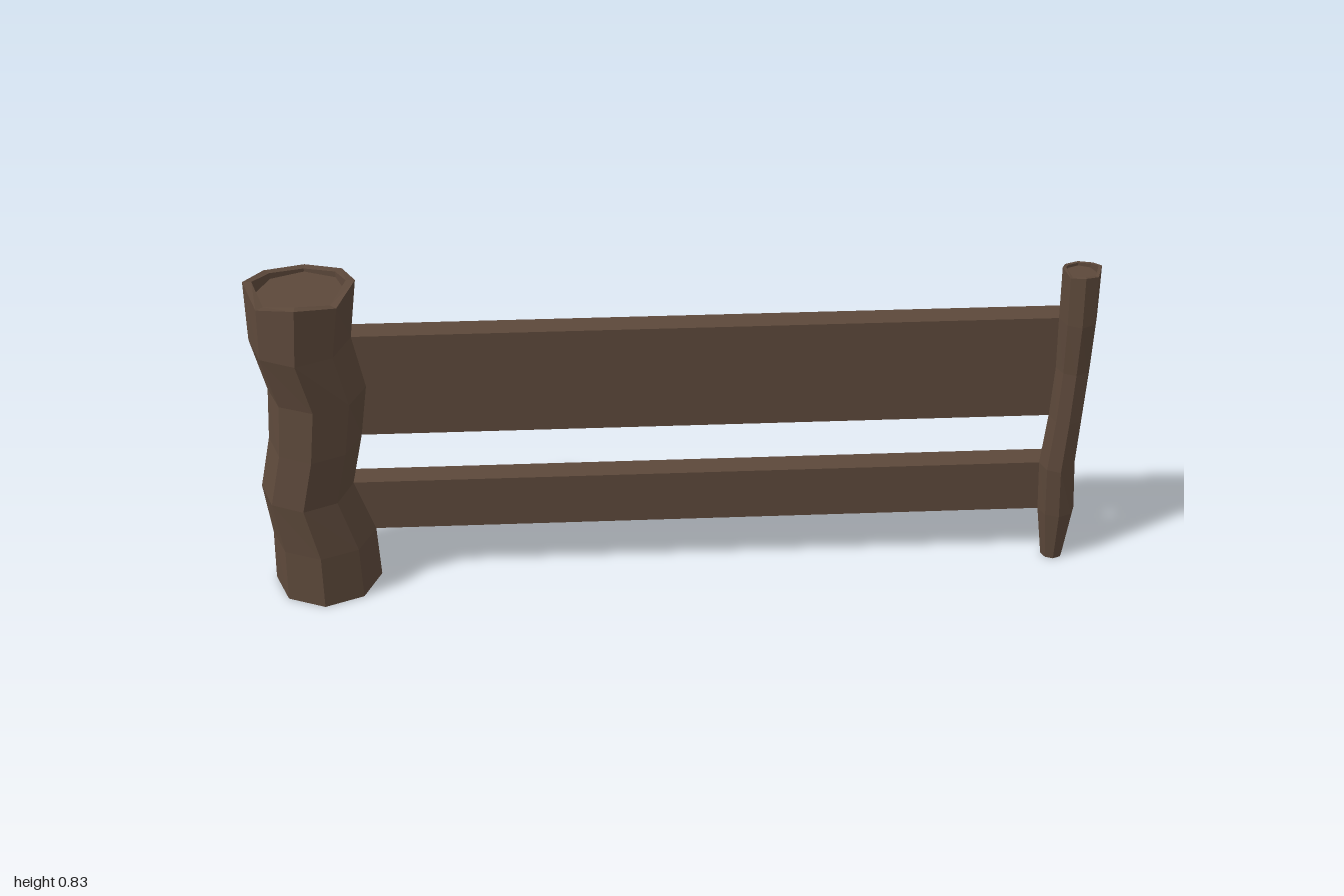
import * as THREE from 'three';

const SIDES = 8;

// Eight-sided log lofted through rings of [y, centreX, radiusX, radiusZ],
// finished with an uneven raised rim around a sunken flat top.
function makePost(name, rings, crown, rim, floorY, material) {
  const ring = (cx, rx, rz, height) => Array.from({ length: SIDES }, (_, i) => {
    const a = (i / SIDES) * Math.PI * 2;
    return [cx + Math.cos(a) * rx, height(i), Math.sin(a) * rz];
  });
  const [, topX, topRx, topRz] = rings[rings.length - 1];
  const loops = [ring(rings[0][1], 0, 0, () => 0)];
  rings.forEach(([y, cx, rx, rz], k) => {
    const last = k === rings.length - 1;
    loops.push(ring(cx, rx, rz, (i) => (last ? crown[i] : y)));
  });
  // rim, inner wall and sunken top
  loops.push(ring(topX, topRx - rim, topRz - rim, (i) => crown[i]));
  loops.push(ring(topX, topRx - rim, topRz - rim, () => floorY));
  loops.push(ring(topX, 0, 0, () => floorY));

  const pos = [];
  for (let k = 0; k < loops.length - 1; k++) {
    for (let i = 0; i < SIDES; i++) {
      const j = (i + 1) % SIDES;
      const lo = loops[k], up = loops[k + 1];
      if (k < loops.length - 2) pos.push(...lo[i], ...up[i], ...up[j]);
      if (k > 0) pos.push(...lo[i], ...up[j], ...lo[j]);
      else if (k === 0) continue;
    }
  }
  const geometry = new THREE.BufferGeometry();
  geometry.setAttribute('position', new THREE.Float32BufferAttribute(pos, 3));
  geometry.computeVertexNormals();
  const mesh = new THREE.Mesh(geometry, material);
  mesh.name = name;
  return mesh;
}

// Plank between the posts, set towards the back
function makeRail(name, y0, y1, material) {
  const x0 = -0.84, x1 = 0.92, z0 = -0.06, z1 = 0;
  const mesh = new THREE.Mesh(new THREE.BoxGeometry(x1 - x0, y1 - y0, z1 - z0), material);
  mesh.position.set((x0 + x1) / 2, (y0 + y1) / 2, (z0 + z1) / 2);
  mesh.name = name;
  return mesh;
}

export function createModel() {
  const group = new THREE.Group();
  group.name = 'fence';
  const wood = new THREE.MeshStandardMaterial({ color: 0x5c483a, flatShading: true });
  wood.name = 'dark brown wood';

  // Thick post
  group.add(makePost('thickPost', [
    [0, -0.86, 0.13, 0.132],
    [0.137, -0.86, 0.125, 0.126],
    [0.273, -0.89, 0.11, 0.122],
    [0.41, -0.86, 0.11, 0.122],
    [0.545, -0.845, 0.115, 0.117],
    [0.68, -0.873, 0.118, 0.133],
    [0.82, -0.862, 0.128, 0.129],
  ], [0.83, 0.808, 0.823, 0.808, 0.832, 0.812, 0.805, 0.812], 0.021, 0.797, wood));

  // Thin post
  group.add(makePost('thinPost', [
    [0, 0.947, 0.027, 0.027],
    [0.137, 0.946, 0.045, 0.043],
    [0.273, 0.937, 0.044, 0.05],
    [0.41, 0.945, 0.041, 0.047],
    [0.545, 0.95, 0.041, 0.043],
    [0.68, 0.949, 0.045, 0.052],
    [0.81, 0.946, 0.046, 0.048],
  ], [0.818, 0.806, 0.81, 0.804, 0.816, 0.806, 0.805, 0.808], 0.008, 0.798, wood));

  // Rails
  group.add(makeRail('upperRail', 0.41, 0.68, wood));
  group.add(makeRail('lowerRail', 0.137, 0.273, wood));
  return group;
}
